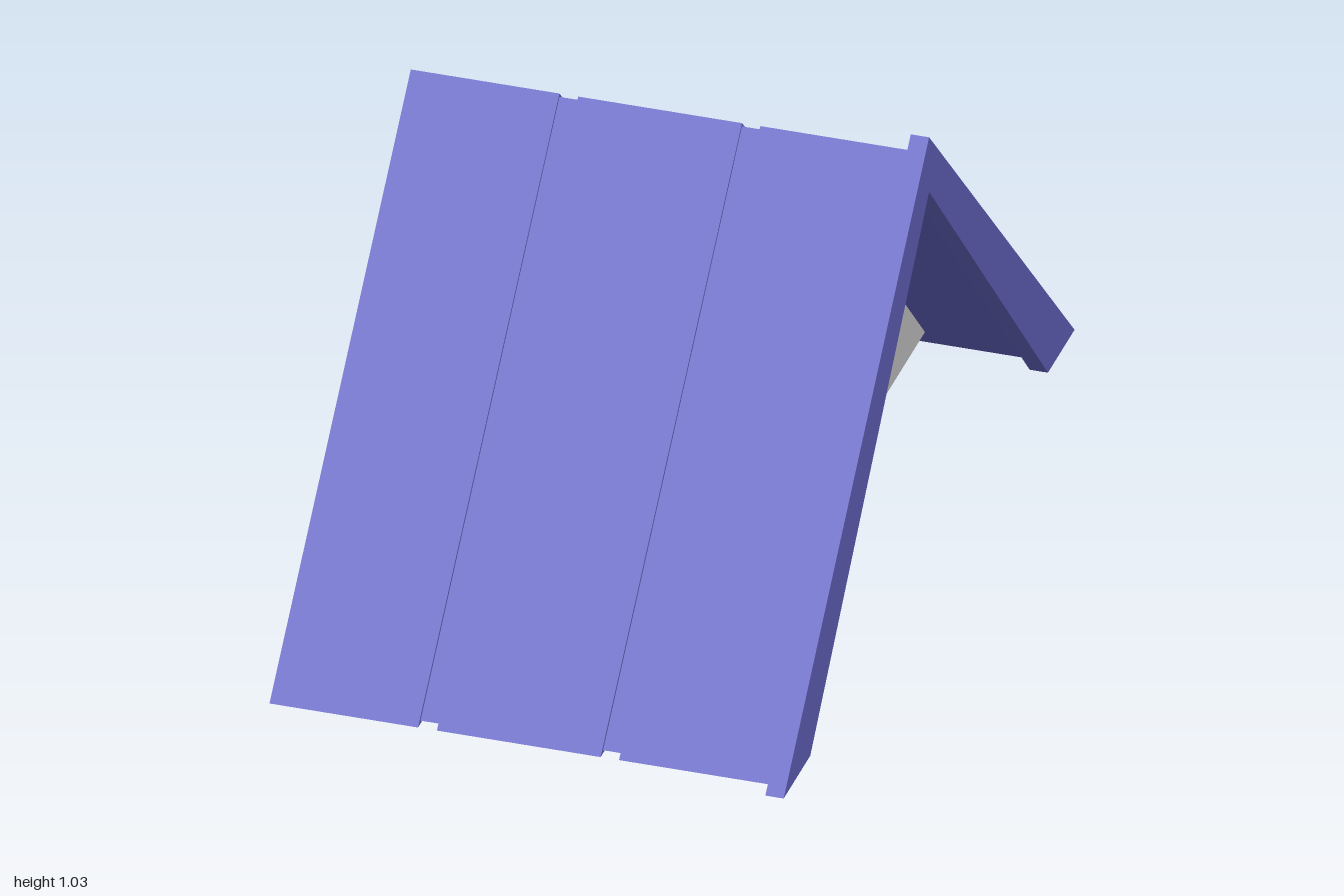
import * as THREE from 'three';

export function createModel() {
  const model = new THREE.Group();
  const blue = new THREE.MeshStandardMaterial({ color: 0x6666c4, flatShading: true });
  const grey = new THREE.MeshStandardMaterial({ color: 0xcccccc, flatShading: true });

  // Extrude a profile of [z, y] points along x from x0 to x1
  function addPrism(name, points, x0, x1, material) {
    const shape = new THREE.Shape(points.map(([z, y]) => new THREE.Vector2(z, y)));
    const geometry = new THREE.ExtrudeGeometry(shape, { depth: x1 - x0, bevelEnabled: false });
    geometry.rotateY(Math.PI / 2);
    geometry.translate(x0, 0, 0);
    const mesh = new THREE.Mesh(geometry, material);
    mesh.name = name;
    model.add(mesh);
  }

  // Chevron roof section with flat eaves, symmetric about the ridge
  const chevron = (ridge, eave, base, innerRidge, innerEave) => [
    [0, ridge], [eave, base], [innerEave, base],
    [0, innerRidge], [-innerEave, base], [-eave, base],
  ];

  // Raised roof panels
  const panel = chevron(0.993, 0.972, 0.011, 0.905, 0.842);
  [[-0.565, -0.241], [-0.2, 0.157], [0.197, 0.525]].forEach(([a, b], i) =>
    addPrism(`roofPanel${i + 1}`, panel, a, b, blue));

  // Recessed seams between the panels
  const seam = chevron(0.985, 0.955, 0.018, 0.905, 0.835);
  [[-0.241, -0.2], [0.157, 0.197]].forEach(([a, b], i) =>
    addPrism(`roofSeam${i + 1}`, seam, a, b, blue));

  // Taller, thicker trim on the gable edge
  addPrism('gableTrim', chevron(1.032, 1, 0, 0.9, 0.817), 0.525, 0.565, blue);

  // Solid gable core under the roof, set in from both ends
  addPrism('gableCore', [[-0.785, 0.07], [0.785, 0.07], [0, 0.905]], -0.377, 0.307, grey);

  return model;
}
